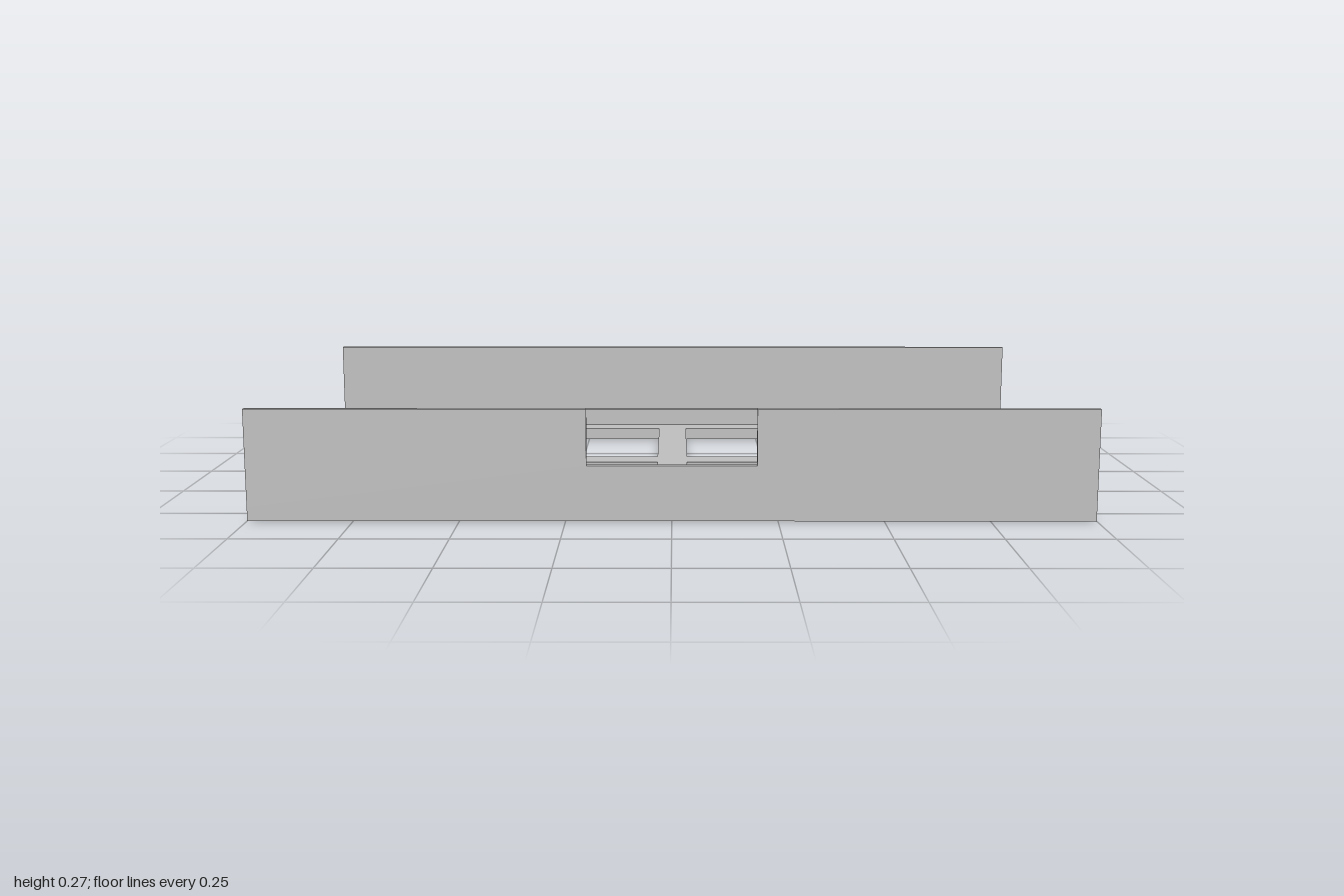
import * as THREE from 'three';

const metal = new THREE.MeshStandardMaterial({ color: 0xc0c0c0 });
metal.name = 'light grey';

// Rectangle outline from two corners, drawn into a Shape or Path
function rect(path, x0, y0, x1, y1) {
  path.moveTo(x0, y0);
  path.lineTo(x1, y0);
  path.lineTo(x1, y1);
  path.lineTo(x0, y1);
  path.closePath();
  return path;
}

// Flat frame lying on the ground plane: outer rectangle [x0, z0, x1, z1] with rectangular holes
function flatFrame(name, outer, holes, bottom, height) {
  const shape = rect(new THREE.Shape(), ...outer);
  for (const h of holes) shape.holes.push(rect(new THREE.Path(), ...h));
  const geo = new THREE.ExtrudeGeometry(shape, { depth: height, bevelEnabled: false });
  geo.rotateX(Math.PI / 2); // shape y becomes z
  geo.translate(0, bottom + height, 0);
  const mesh = new THREE.Mesh(geo, metal);
  mesh.name = name;
  return mesh;
}

export function createModel() {
  const model = new THREE.Group();
  model.name = 'trayHolder';
  const D = 0.578, T = 0.016, BASE = 0.033, H = 0.267;

  // Base grid: four columns by two rows of openings
  const holes = [];
  for (const [x0, x1, zBack, zFront] of [
    [-0.925, -0.51, -0.503, 0.498],
    [-0.428, -0.04, -0.477, 0.47],
    [0.04, 0.425, -0.477, 0.47],
    [0.51, 0.92, -0.503, 0.498],
  ]) {
    holes.push([x0, zBack, x1, -0.042], [x0, 0.038, x1, zFront]);
  }
  model.add(flatFrame('baseGrid', [-1, -D, 1, D], holes, 0, BASE));

  // Raised rim around the middle four openings
  model.add(flatFrame('trayRim', [-0.507, -0.556, 0.507, 0.556],
    [[-0.49, -0.54, 0.49, 0.54]], BASE, 0.047));

  // Plain back wall
  const back = new THREE.Mesh(new THREE.BoxGeometry(2, H - BASE, T), metal);
  back.position.set(0, (H + BASE) / 2, -D + T / 2);
  back.name = 'backWall';
  model.add(back);

  // Front wall with a notch in its top edge
  const outline = [[-1, BASE], [1, BASE], [1, H], [0.2, H], [0.2, 0.133], [-0.2, 0.133], [-0.2, H], [-1, H]];
  const shape = new THREE.Shape(outline.map(([x, y]) => new THREE.Vector2(x, y)));
  const front = new THREE.Mesh(new THREE.ExtrudeGeometry(shape, { depth: T, bevelEnabled: false }), metal);
  front.position.z = D - T;
  front.name = 'frontWall';
  model.add(front);

  return model;
}
